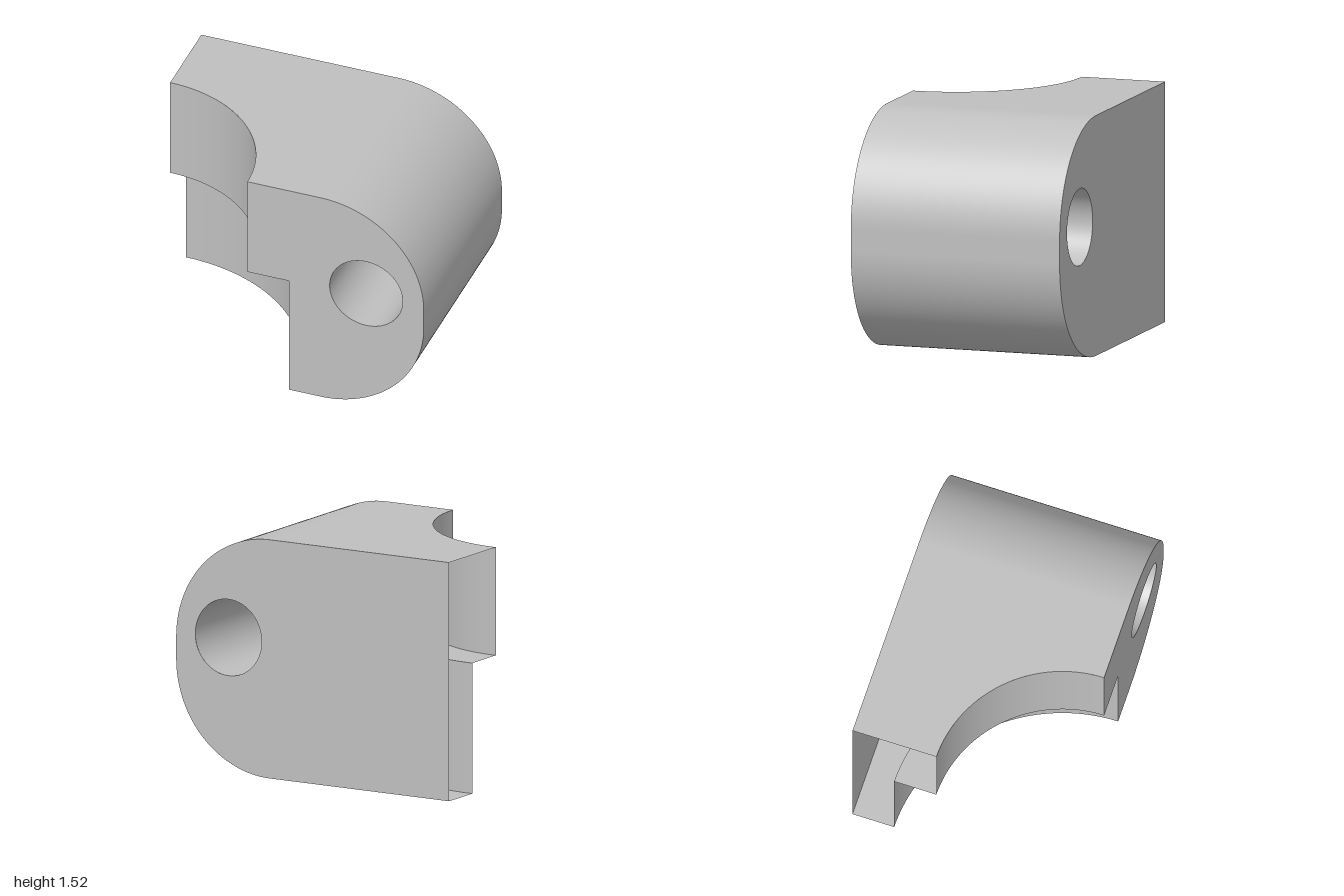
import * as THREE from 'three';

const H = 1.518, STEP = 0.83, D = 0.688;   // height, ledge level, half depth
const R = 0.688, CX = 1 - R;               // rounded end radius and its centre x
const R_UP = 0.826, R_LOW = 1.103;         // radii of the two corner cut-outs
const HOLE = { x: 0.617, y: 0.863, r: 0.243 };
const SEG = 48;

export function createModel() {
  const group = new THREE.Group();
  const grey = new THREE.MeshStandardMaterial({ color: 0xbfbfbf, side: THREE.DoubleSide });
  grey.name = 'plain grey';

  const add = (name, geometry, x = 0, y = 0, z = 0) => {
    const mesh = new THREE.Mesh(geometry, grey);
    mesh.name = name;
    mesh.position.set(x, y, z);
    group.add(mesh);
  };

  // Side profile with rounded right end and bore; the left edge follows the given points
  const profile = (leftEdge) => {
    const s = new THREE.Shape();
    s.moveTo(leftEdge[0][0], leftEdge[0][1]);
    s.lineTo(CX, 0);
    s.absarc(CX, R, R, -Math.PI / 2, 0, false);
    s.absarc(CX, H - R, R, 0, Math.PI / 2, false);
    leftEdge.slice(1).forEach(([x, y]) => s.lineTo(x, y));
    s.holes.push(new THREE.Path().absarc(HOLE.x, HOLE.y, HOLE.r, 0, Math.PI * 2, true));
    return new THREE.ShapeGeometry(s, SEG);
  };
  add('frontFace', profile([[R_LOW - 1, 0], [R_UP - 1, H], [R_UP - 1, STEP], [R_LOW - 1, STEP]]), 0, 0, D);

  // Back face, with its winding turned to look towards -z
  const back = profile([[-1, 0], [-1, H]]);
  back.index.array.reverse();
  back.computeVertexNormals();
  add('backFace', back, 0, 0, -D);

  // Flat top and bottom plates with a quarter-round corner removed
  const plate = (r, up) => {
    const s = new THREE.Shape();
    s.moveTo(-1, up * D);
    s.lineTo(-1, up * (r - D));
    s.absarc(-1, -up * D, r, up * Math.PI / 2, 0, up > 0);
    s.lineTo(CX, -up * D);
    s.lineTo(CX, up * D);
    return new THREE.ShapeGeometry(s, SEG).rotateX(-up * Math.PI / 2);
  };
  add('topFace', plate(R_UP, 1), 0, H, 0);
  add('bottomFace', plate(R_LOW, -1));

  // Rounded end: two quarter cylinders joined by a narrow flat
  const quarter = (r, h, start) =>
    new THREE.CylinderGeometry(r, r, h, SEG, 1, true, start, Math.PI / 2);
  add('lowerRound', quarter(R, 2 * D, 0).rotateX(Math.PI / 2), CX, R, 0);
  add('upperRound', quarter(R, 2 * D, Math.PI / 2).rotateX(Math.PI / 2), CX, H - R, 0);
  add('endFlat', new THREE.PlaneGeometry(2 * D, H - 2 * R).rotateY(Math.PI / 2), 1, H / 2, 0);

  // Stepped concave corner walls and the ledge between them; the left side stays open
  add('upperCutWall', quarter(R_UP, H - STEP, Math.PI / 2), -1, (H + STEP) / 2, D);
  add('lowerCutWall', quarter(R_LOW, STEP, Math.PI / 2), -1, STEP / 2, D);
  const ledge = new THREE.RingGeometry(R_UP, R_LOW, SEG, 1, -Math.PI / 2, Math.PI / 2);
  add('ledge', ledge.rotateX(Math.PI / 2), -1, STEP, D);

  // Through bore
  const bore = new THREE.CylinderGeometry(HOLE.r, HOLE.r, 2 * D, 64, 1, true);
  add('bore', bore.rotateX(Math.PI / 2), HOLE.x, HOLE.y, 0);

  return group;
}
